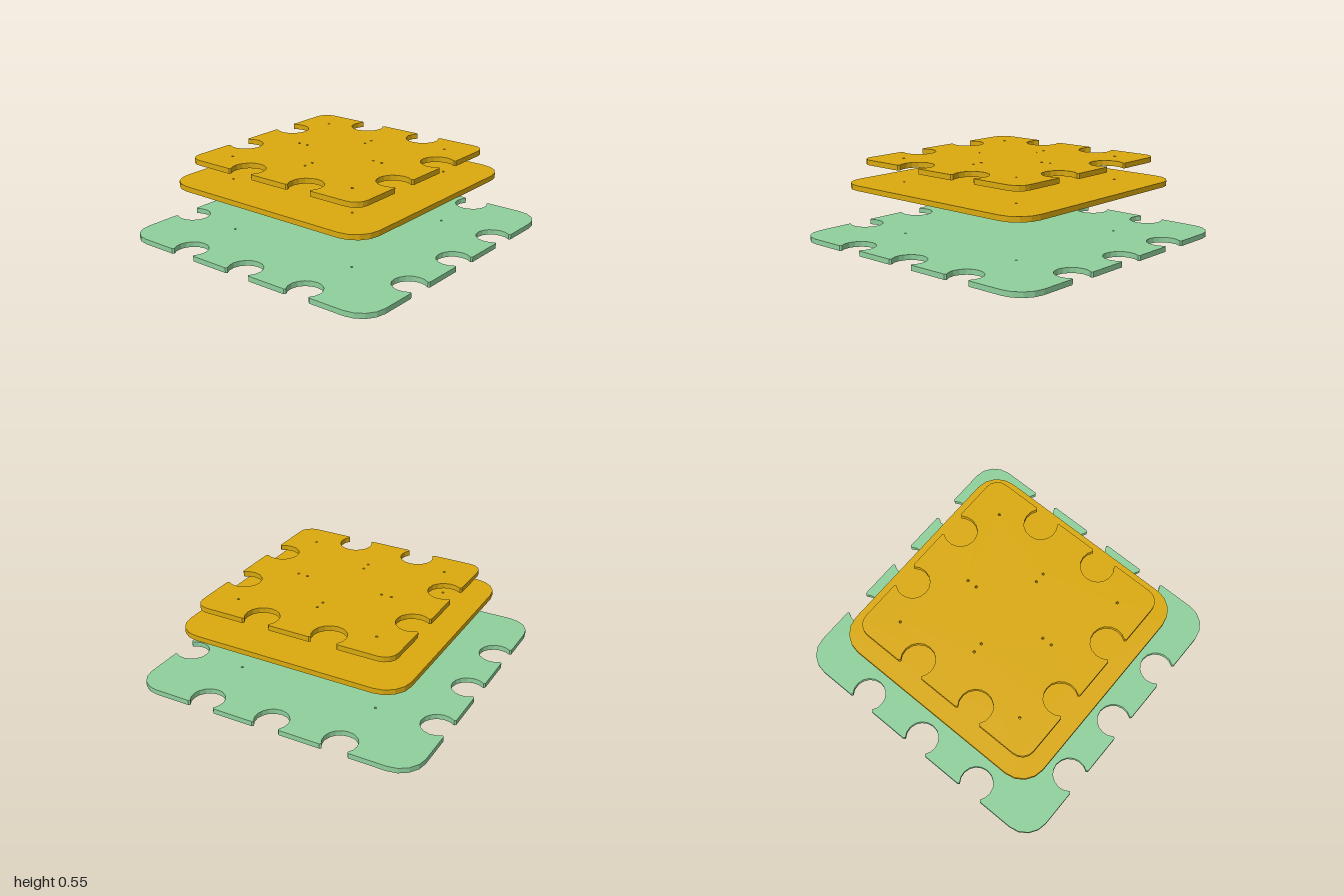
import * as THREE from 'three';

const GOLD = 0xdbaa0e, GREEN = 0x8fd09c;

// Rounded square outline with keyhole notches repeated on all four sides
function plateOutline(half, cornerR, notches) {
  const side = [];
  const r = 0.112, throat = 0.9, mouth = 0.098, steps = 12;
  for (const c of notches) {
    const cy = -half + 0.08;
    side.push([c - mouth, -half]);
    const start = -Math.PI / 2 - throat, sweep = 2 * Math.PI - 2 * throat;
    for (let i = 0; i <= steps; i++) {
      const a = start - sweep * i / steps;
      side.push([c + r * Math.cos(a), cy + r * Math.sin(a)]);
    }
    side.push([c + mouth, -half]);
  }
  // corner at the end of the side
  for (let i = 0; i <= 4; i++) {
    const a = -Math.PI / 2 + Math.PI / 2 * i / 4;
    side.push([half - cornerR + cornerR * Math.cos(a), -half + cornerR + cornerR * Math.sin(a)]);
  }
  const pts = [];
  for (let k = 0; k < 4; k++) {
    for (const [x, y] of side) {
      pts.push(new THREE.Vector2(x, y).rotateAround(new THREE.Vector2(), k * Math.PI / 2));
    }
  }
  return new THREE.Shape(pts);
}

// Flat plate with small drilled holes, lying at height y
function plate({ name, color, half, cornerR, notches, y, thickness, holes }) {
  const shape = plateOutline(half, cornerR, notches);
  for (const [x, z] of holes) {
    const hole = new THREE.Path();
    hole.absarc(x, -z, 0.009, 0, Math.PI * 2, true);
    shape.holes.push(hole);
  }
  const geo = new THREE.ExtrudeGeometry(shape, { depth: thickness, bevelEnabled: false, curveSegments: 3 });
  geo.rotateX(-Math.PI / 2);
  const mesh = new THREE.Mesh(geo, new THREE.MeshStandardMaterial({ color, flatShading: true }));
  mesh.name = name;
  mesh.position.y = y;
  return mesh;
}

export function createModel() {
  const group = new THREE.Group();
  group.name = 'stackedPlates';

  // Screw holes at the corners, and cross-shaped pairs around the centre
  const cornerHoles = [], centreHoles = [];
  for (const s of [-1, 1]) {
    for (const t of [-1, 1]) cornerHoles.push([0.5 * s, 0.5 * t]);
    for (const d of [0.28, 0.35]) centreHoles.push([s * d, 0], [0, s * d]);
  }

  group.add(
    plate({
      name: 'basePlate', color: GREEN, half: 1, cornerR: 0.17,
      notches: [-0.48, 0, 0.48], y: 0, thickness: 0.035, holes: cornerHoles,
    }),
    plate({
      name: 'middlePlate', color: GOLD, half: 0.8, cornerR: 0.17,
      notches: [], y: 0.357, thickness: 0.035, holes: cornerHoles,
    }),
    plate({
      name: 'topPlate', color: GOLD, half: 0.7, cornerR: 0.09,
      notches: [-0.24, 0.24], y: 0.515, thickness: 0.035, holes: [...cornerHoles, ...centreHoles],
    }),
  );
  return group;
}
